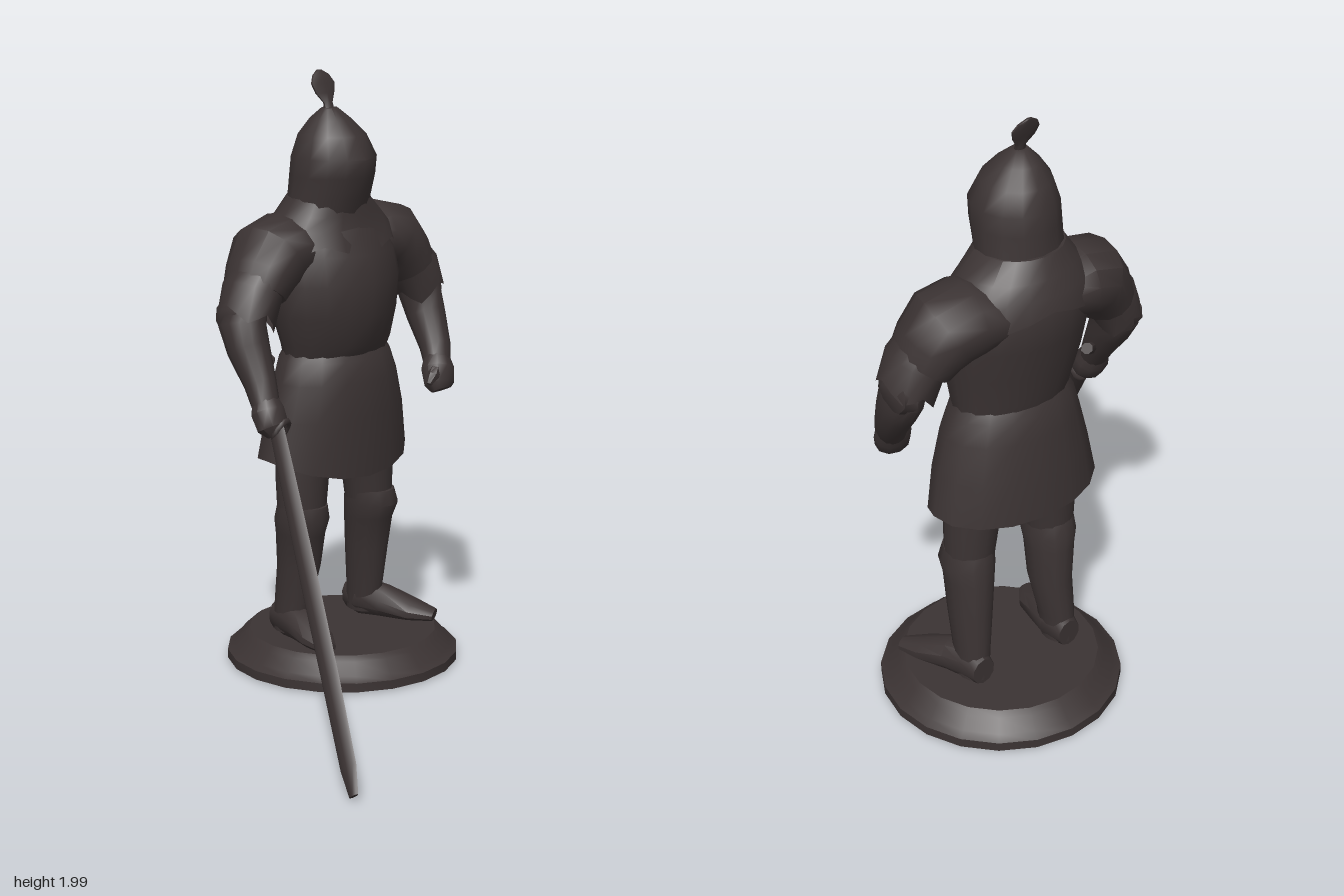
import * as THREE from 'three';
import { toCreasedNormals } from 'three/addons/utils/BufferGeometryUtils.js';

const MID = 0.17; // body's own centre line
const X = new THREE.Vector3(1, 0, 0), Y = new THREE.Vector3(0, 1, 0), Z = new THREE.Vector3(0, 0, 1);

// Skin over elliptical rings [x, y, z, radius along ref, other radius]
function loft(rings, { ref = X, flat = false, sides = 14, capStart = true, capEnd = true, warp = null, crease = 0.75 } = {}) {
  const pos = [], idx = [];
  const c = rings.map(r => new THREE.Vector3(r[0], r[1], r[2]));
  const last = rings.length - 1;
  rings.forEach((r, i) => {
    const t = flat ? Y.clone() : c[Math.min(i + 1, last)].clone().sub(c[Math.max(i - 1, 0)]).normalize();
    const u = ref.clone().cross(t).normalize(), v = t.clone().cross(u);
    for (let j = 0; j < sides; j++) {
      const a = (j / sides) * Math.PI * 2;
      const p = c[i].clone().addScaledVector(u, r[4] * Math.cos(a)).addScaledVector(v, r[3] * Math.sin(a));
      if (warp) warp(p, i, a);
      pos.push(p.x, p.y, p.z);
    }
  });
  for (let i = 0; i < last; i++) for (let j = 0; j < sides; j++) {
    const k = (j + 1) % sides, a = i * sides + j, b = i * sides + k;
    idx.push(a, b, b + sides, a, b + sides, a + sides);
  }
  const cap = (i, flip) => {
    const n = pos.length / 3;
    pos.push(c[i].x, c[i].y, c[i].z);
    for (let j = 0; j < sides; j++) {
      const a = i * sides + j, b = i * sides + (j + 1) % sides;
      idx.push(n, flip ? b : a, flip ? a : b);
    }
  };
  if (capStart) cap(0, true);
  if (capEnd) cap(last, false);
  const g = new THREE.BufferGeometry();
  g.setAttribute('position', new THREE.Float32BufferAttribute(pos, 3));
  g.setIndex(idx);
  return toCreasedNormals(g, crease);
}

export function createModel() {
  const model = new THREE.Group();
  const iron = new THREE.MeshStandardMaterial({ color: 0x3b3333, side: THREE.DoubleSide });
  iron.name = 'dark iron';
  const add = (name, geometry) => {
    const m = new THREE.Mesh(geometry, iron);
    m.name = name;
    model.add(m);
    return m;
  };

  // Round plinth with a bevelled rim and hollow underside
  const profile = [[0, 0.05], [0.2, 0.035], [0.375, 0.01], [0.39, 0.015], [0.39, 0.045], [0.365, 0.06], [0.335, 0.1], [0.315, 0.115], [0, 0.115]];
  const base = add('base', toCreasedNormals(new THREE.LatheGeometry(profile.map(p => new THREE.Vector2(...p)), 20), 0.5));
  base.position.set(0.22, 0, -0.29);

  // Legs
  add('rightThigh', loft([[0.035, 0.5, -0.29, 0.075, 0.08], [0.04, 0.68, -0.29, 0.088, 0.09], [0.07, 0.9, -0.29, 0.1, 0.11]], { flat: true }));
  add('leftThigh', loft([[0.345, 0.5, -0.29, 0.075, 0.08], [0.33, 0.68, -0.29, 0.088, 0.09], [0.29, 0.9, -0.29, 0.1, 0.11]], { flat: true }));
  add('rightGreave', loft([[0.035, 0.13, -0.345, 0.05, 0.065], [0.035, 0.22, -0.335, 0.055, 0.07], [0.05, 0.36, -0.32, 0.068, 0.08],
    [0.04, 0.48, -0.3, 0.077, 0.09], [0.037, 0.53, -0.29, 0.085, 0.1], [0.035, 0.58, -0.285, 0.078, 0.09]], { flat: true }));
  add('leftGreave', loft([[0.37, 0.13, -0.345, 0.05, 0.065], [0.365, 0.22, -0.335, 0.055, 0.07], [0.36, 0.36, -0.32, 0.068, 0.08],
    [0.35, 0.48, -0.3, 0.077, 0.09], [0.347, 0.53, -0.285, 0.085, 0.1], [0.34, 0.58, -0.285, 0.078, 0.09]], { flat: true }));
  const foot = (name, x, dx) => add(name, loft([
    [x, 0.165, -0.41, 0.04, 0.05], [x, 0.17, -0.34, 0.06, 0.065], [x + dx * 0.25, 0.165, -0.27, 0.062, 0.055],
    [x + dx * 0.65, 0.145, -0.18, 0.06, 0.035], [x + dx, 0.132, -0.11, 0.032, 0.02]], { sides: 10 }));
  foot('rightFoot', 0.035, -0.05);
  foot('leftFoot', 0.37, 0.11);

  // Skirt: open below, with the hem dipping at front
  add('skirt', loft([[0.18, 0.75, -0.295, 0.293, 0.178], [0.18, 0.88, -0.285, 0.268, 0.172], [0.175, 1.0, -0.275, 0.236, 0.163],
    [0.172, 1.07, -0.275, 0.213, 0.148], [0.172, 1.11, -0.275, 0.19, 0.125]], {
    flat: true, sides: 16, capStart: false,
    warp: (p, i, a) => { if (i === 0) p.y -= 0.07 * Math.max(0, Math.cos(a)) ** 1.5 + 0.02 * Math.max(0, -Math.cos(a)); },
  }));

  // Breastplate, keeled down the middle
  add('breastplate', loft([[0.172, 1.07, -0.275, 0.195, 0.125], [0.17, 1.12, -0.267, 0.205, 0.145], [0.16, 1.22, -0.262, 0.23, 0.168],
    [0.16, 1.33, -0.27, 0.242, 0.187], [0.16, 1.42, -0.285, 0.235, 0.183], [0.15, 1.5, -0.29, 0.2, 0.16], [0.15, 1.55, -0.285, 0.15, 0.13]], {
    flat: true, sides: 18, warp: (p, i, a) => { if (i > 0 && i < 5 && Math.cos(a) > 0.99) p.z += 0.008; },
  }));

  // Scalloped mail mantle over the shoulders
  add('mantle', loft([[0.155, 1.435, -0.29, 0.25, 0.182], [0.155, 1.5, -0.295, 0.235, 0.163], [0.15, 1.545, -0.285, 0.19, 0.145],
    [0.135, 1.6, -0.27, 0.14, 0.125]], {
    flat: true, sides: 20, capStart: false,
    warp: (p, i, a) => { if (i === 0) p.y += 0.022 * Math.cos(a * 5 + Math.PI); },
  }));

  // Helmet with a forward-jutting face
  add('helmet', loft([[0.135, 1.53, -0.275, 0.148, 0.125], [0.135, 1.6, -0.26, 0.14, 0.127], [0.135, 1.67, -0.245, 0.137, 0.14],
    [0.133, 1.73, -0.235, 0.135, 0.142], [0.13, 1.8, -0.24, 0.108, 0.113], [0.12, 1.85, -0.238, 0.065, 0.07],
    [0.115, 1.885, -0.236, 0.027, 0.025]], {
    flat: true, warp: (p, i, a) => { if (i > 0 && i < 4 && Math.cos(a) > 0.99) p.z += 0.008; },
  }));
  add('plume', loft([[0.115, 1.87, -0.235, 0.02, 0.016], [0.115, 1.9, -0.243, 0.018, 0.011], [0.115, 1.93, -0.257, 0.04, 0.011],
    [0.115, 1.96, -0.267, 0.05, 0.011], [0.115, 1.985, -0.277, 0.035, 0.01], [0.115, 2.0, -0.285, 0.01, 0.006]], { flat: true, sides: 10 }));

  // Arms, mirrored about the body's centre line
  for (const side of ['right', 'left']) {
    const mx = x => (side === 'right' ? x : 2 * MID - x);
    const flip = rings => rings.map(r => [mx(r[0]), ...r.slice(1)]);
    const arm = (name, rings, opts) => add(side + name, loft(flip(rings), opts));
    arm('Shoulder', [[0.05, 1.43, -0.31, 0.13, 0.09], [-0.02, 1.44, -0.31, 0.145, 0.115], [-0.09, 1.42, -0.3, 0.14, 0.122],
      [-0.135, 1.365, -0.29, 0.125, 0.107], [-0.165, 1.32, -0.285, 0.115, 0.092]], { ref: Z });
    // Lower lame with a pointed edge
    arm('ArmPlate', [[-0.14, 1.37, -0.285, 0.1, 0.085], [-0.18, 1.32, -0.28, 0.107, 0.09], [-0.215, 1.24, -0.275, 0.105, 0.083]], {
      ref: Z, capEnd: false, sides: 16, warp: (p, i, a) => { if (i === 2) p.y += 0.022 * Math.cos(a * 4); },
    });
    if (side === 'right') {
      arm('Forearm', [[-0.2, 1.3, -0.28, 0.06, 0.075], [-0.23, 1.22, -0.27, 0.07, 0.085], [-0.235, 1.15, -0.235, 0.068, 0.07],
        [-0.24, 1.05, -0.175, 0.052, 0.052], [-0.25, 0.98, -0.135, 0.045, 0.042]]);
      arm('Fist', [[-0.245, 1.01, -0.15, 0.04, 0.04], [-0.25, 0.97, -0.13, 0.058, 0.052], [-0.25, 0.925, -0.105, 0.056, 0.048], [-0.245, 0.9, -0.095, 0.03, 0.03]], { sides: 10 });
    } else {
      add('leftForearm', loft([[0.54, 1.3, -0.28, 0.06, 0.075], [0.56, 1.22, -0.27, 0.062, 0.085], [0.555, 1.15, -0.235, 0.063, 0.07],
        [0.54, 1.05, -0.175, 0.053, 0.052], [0.52, 1.0, -0.145, 0.045, 0.045]]));
      add('leftFist', loft([[0.53, 1.03, -0.16, 0.04, 0.04], [0.512, 0.985, -0.135, 0.06, 0.052], [0.5, 0.94, -0.115, 0.058, 0.045], [0.5, 0.92, -0.105, 0.04, 0.03]], { sides: 10 }));
      add('leftThumb', loft([[0.49, 1.0, -0.12, 0.018, 0.018], [0.455, 0.975, -0.1, 0.022, 0.02], [0.437, 0.95, -0.1, 0.01, 0.01]], { ref: Z, sides: 6 }));
    }
    // Winged elbow guard
    arm('ElbowGuard', [[-0.225, 1.245, -0.285, 0.085, 0.075], [-0.265, 1.25, -0.285, 0.075, 0.065], [-0.283, 1.25, -0.285, 0.035, 0.03]], { ref: Z, sides: 10 });
  }

  // Long sword: flat blade, bent grip, small guard
  const flatDir = new THREE.Vector3(0.23, 0.56, 0.8).normalize();
  add('blade', loft([[-0.24, 0.95, -0.11, 0.03, 0.013], [-0.31, 0.79, 0.03, 0.033, 0.013], [-0.41, 0.54, 0.235, 0.036, 0.013],
    [-0.51, 0.29, 0.44, 0.035, 0.012], [-0.59, 0.09, 0.6, 0.032, 0.01], [-0.62, 0.025, 0.655, 0.018, 0.007]], { ref: flatDir, sides: 8 }));
  add('grip', loft([[-0.24, 0.94, -0.1, 0.018, 0.018], [-0.215, 1.03, -0.17, 0.017, 0.017], [-0.18, 1.08, -0.215, 0.018, 0.017],
    [-0.14, 1.105, -0.245, 0.02, 0.018]], { sides: 8 }));
  const guard = add('guard', new THREE.TorusGeometry(0.035, 0.011, 6, 12));
  guard.position.set(-0.235, 0.915, -0.085);
  guard.rotation.set(0.5, 0.3, 0);

  return model;
}
